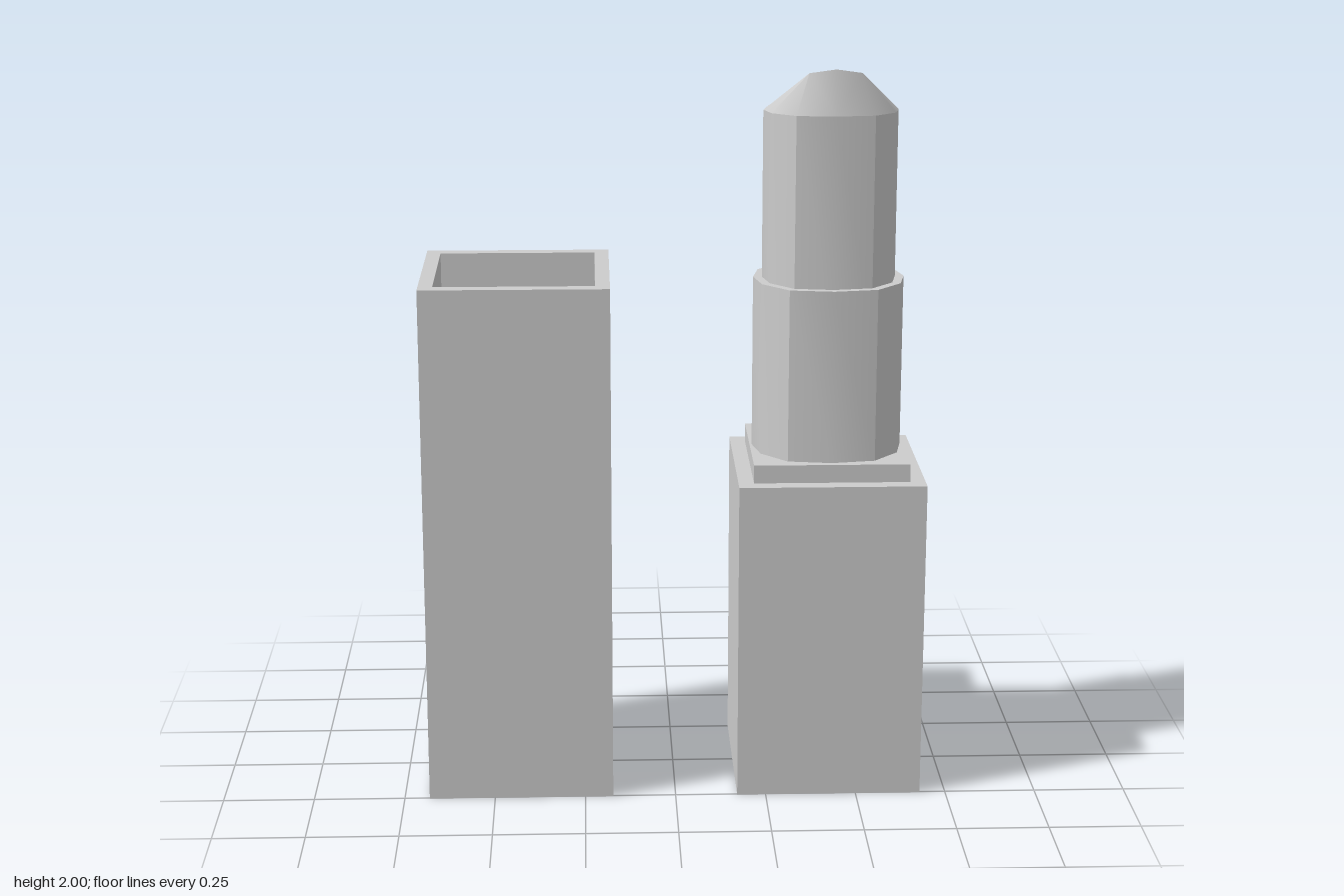
import * as THREE from 'three';
import { toCreasedNormals } from 'three/addons/utils/BufferGeometryUtils.js';

const material = new THREE.MeshStandardMaterial({ color: 0xcccccc });

function addMesh(parent, name, geometry, x = 0, y = 0, z = 0) {
  const mesh = new THREE.Mesh(geometry, material);
  mesh.name = name;
  mesh.position.set(x, y, z);
  parent.add(mesh);
  return mesh;
}

function box(parent, name, width, y0, y1) {
  return addMesh(parent, name, new THREE.BoxGeometry(width, y1 - y0, width), 0, (y0 + y1) / 2);
}

// Twelve-sided rounded outline, mirrored from one quarter
function ringShape(rx, rz) {
  const quarter = [[1, 0], [0.91, 0.49], [0.575, 0.9]];
  const points = [];
  for (let q = 0; q < 4; q++) {
    const order = q % 2 ? [[0, 1], quarter[2], quarter[1]] : quarter;
    const sx = q === 1 || q === 2 ? -1 : 1;
    const sz = q < 2 ? 1 : -1;
    for (const [x, z] of order) points.push(new THREE.Vector2(sx * x * rx, sz * z * rz));
  }
  return new THREE.Shape(points);
}

// Extrudes a plan shape upwards
function prism(shape, y0, y1) {
  const geometry = new THREE.ExtrudeGeometry(shape, { depth: y1 - y0, bevelEnabled: false });
  return geometry.rotateX(-Math.PI / 2).translate(0, y0, 0);
}

function squarePoints(h) {
  return [[-h, -h], [h, -h], [h, h], [-h, h]].map(([x, y]) => new THREE.Vector2(x, y));
}

// The stick's rim drops slightly towards the back
const rimY = (z) => 1.8725 + 0.044 * z;

// Slanted tip lofted from mirrored rows, front rim to back rim
function tipGeometry() {
  const RX = 0.182, RZ = 0.172;
  const rim = (u, v) => [u * RX, rimY(v * RZ), v * RZ];
  const halves = [ // outer, shoulder, centre
    [rim(0.91, 0.49), rim(0.575, 0.9), rim(0, 1)],
    [rim(0.91, 0.49), [0.07, 1.988, 0.127], [0, 2, 0.145]],
    [rim(1, 0), [0.078, 1.948, 0], [0, 1.957, 0]],
    [rim(0.91, -0.49), [0.08, 1.92, -0.09], [0, 1.93, -0.09]],
    [rim(0.91, -0.49), rim(0.575, -0.9), rim(0, -1)],
  ];
  const rows = halves.map(([o, s, c]) => {
    const flip = ([x, y, z]) => [-x, y, z];
    return [flip(o), flip(s), c, s, o].map((p) => new THREE.Vector3(...p));
  });
  const positions = [];
  const addTriangle = (a, b, c) => {
    if (new THREE.Triangle(a, b, c).getArea() < 1e-7) return;
    for (const p of [a, b, c]) positions.push(p.x, p.y, p.z);
  };
  for (let r = 0; r < rows.length - 1; r++) {
    for (let c = 0; c < 4; c++) {
      const a = rows[r][c], b = rows[r][c + 1];
      const d = rows[r + 1][c], e = rows[r + 1][c + 1];
      if (c < 2) {
        addTriangle(a, b, d);
        addTriangle(b, e, d);
      } else {
        addTriangle(a, b, e);
        addTriangle(a, e, d);
      }
    }
  }
  const geometry = new THREE.BufferGeometry();
  geometry.setAttribute('position', new THREE.Float32BufferAttribute(positions, 3));
  return toCreasedNormals(geometry, 0.7);
}

export function createModel() {
  const model = new THREE.Group();
  model.name = 'lipstick';

  // Tube with its stick raised
  const tube = new THREE.Group();
  tube.name = 'tube';
  tube.position.x = 0.425;
  model.add(tube);
  box(tube, 'base', 0.508, 0, 0.89);
  box(tube, 'collar', 0.424, 0.89, 0.94);
  addMesh(tube, 'sleeve', toCreasedNormals(prism(ringShape(0.206, 0.194), 0.94, 1.415), 0.6));

  // Stick body, its top bent to the sloping rim
  const body = prism(ringShape(0.182, 0.172), 1.3, 1.88);
  const pos = body.attributes.position;
  for (let i = 0; i < pos.count; i++) {
    if (pos.getY(i) > 1.6) pos.setY(i, rimY(pos.getZ(i)));
  }
  addMesh(tube, 'stickBody', toCreasedNormals(body, 0.6));
  addMesh(tube, 'stickTip', tipGeometry());

  // Hollow cap standing open side up
  const cap = new THREE.Group();
  cap.name = 'cap';
  cap.position.x = -0.427;
  model.add(cap);
  const wall = new THREE.Shape(squarePoints(0.254));
  wall.holes.push(new THREE.Path(squarePoints(0.215).reverse()));
  addMesh(cap, 'capWalls', prism(wall, 0, 1.44));
  box(cap, 'capFloor', 0.43, 0, 0.04);

  return model;
}
